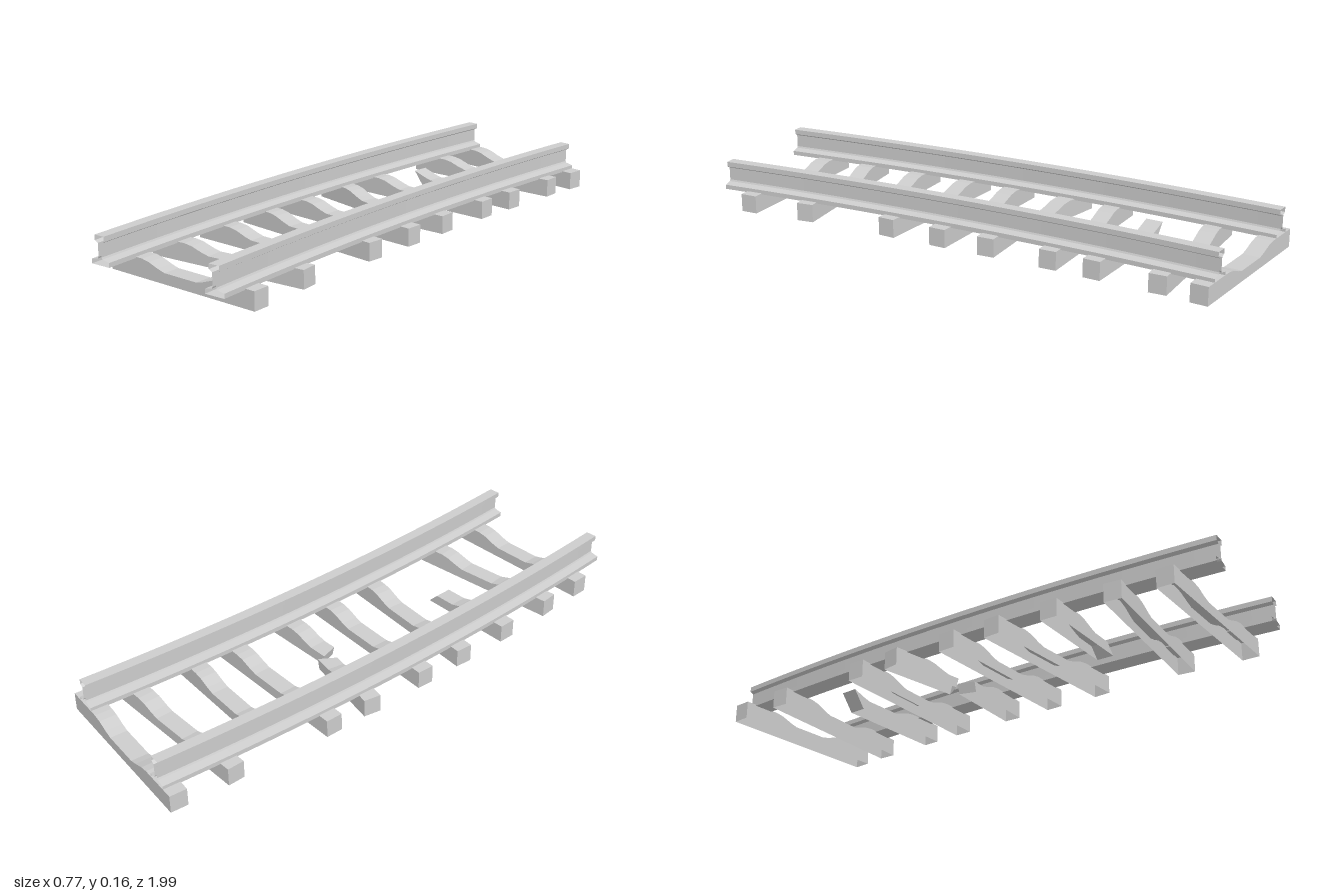
import * as THREE from 'three';

const steel = new THREE.MeshStandardMaterial({ color: 0xcccccc, side: THREE.DoubleSide });
steel.name = 'light grey';

const HALF = 0.314;   // half length of a whole sleeper
const WIDTH = 0.062;

// Joins successive cross-sections (arrays of [x, y, z]) with flat quads.
function loft(sections, closed, capped) {
  const pos = [];
  const quad = (a, b, c, d) => pos.push(...a, ...b, ...c, ...a, ...c, ...d);
  const n = sections[0].length;
  for (let i = 0; i < sections.length - 1; i++) {
    const s = sections[i], t = sections[i + 1];
    for (let j = 0; j < (closed ? n : n - 1); j++) {
      const k = (j + 1) % n;
      quad(s[j], s[k], t[k], t[j]);
    }
  }
  if (capped) {
    const [a, b, c, d] = sections[0];
    quad(d, c, b, a);
    quad(...sections[sections.length - 1]);
  }
  const geo = new THREE.BufferGeometry();
  geo.setAttribute('position', new THREE.Float32BufferAttribute(pos, 3));
  geo.computeVertexNormals();
  return geo;
}

// Rail: an I-profile swept along an arc, open at both ends.
function makeRail(name, startX) {
  const half = [[0.038, 0.061], [0.038, 0.077], [0.01, 0.083], [0.007, 0.089],
    [0.007, 0.135], [0.02, 0.142], [0.02, 0.16]];
  const profile = [...half, ...half.map(([v, y]) => [-v, y]).reverse()];
  const centreX = 11.188, sweep = 0.173, steps = 24;
  const sections = [];
  for (let i = 0; i <= steps; i++) {
    const t = sweep * i / steps;
    sections.push(profile.map(([v, y]) => {
      const r = centreX - startX - v;
      return [centreX - r * Math.cos(t), y, -1 + r * Math.sin(t)];
    }));
  }
  const rail = new THREE.Mesh(loft(sections, true, false), steel);
  rail.name = name;
  return rail;
}

// Height of the sleeper's top: full at the seats, dipped in the middle.
function topHeight(u) {
  const pts = [[0, 0.037], [0.07, 0.038], [0.1, 0.046], [0.14, 0.06], [0.17, 0.065], [1, 0.065]];
  const d = Math.abs(u);
  const i = pts.findIndex((p, k) => k > 0 && d <= p[0]);
  const [a, b] = [pts[i - 1], pts[i]];
  return a[1] + (b[1] - a[1]) * (d - a[0]) / (b[0] - a[0]);
}

// Sleeper between two end points, hollow underneath. A broken end may be
// slanted (bottom shifted against top) and skewed (front shifted against back).
function makeSleeper(name, x0, z0, x1, z1, { broken = null, slant = 0, skew = 0 } = {}) {
  const len = Math.hypot(x1 - x0, z1 - z0);
  const start = broken === 'left' ? HALF - len : broken === 'right' ? -HALF : -len / 2;
  const end = start + len;
  const inner = [-0.17, -0.14, -0.1, -0.07, 0.07, 0.1, 0.14, 0.17]
    .filter((u) => u > start + 0.045 && u < end - 0.045);
  const sections = [start, ...inner, end].map((u, i, all) => {
    const cut = (broken === 'left' && i === 0) || (broken === 'right' && i === all.length - 1);
    const sl = cut ? slant : 0, sk = cut ? skew : 0;
    const h = topHeight(u), w = WIDTH / 2;
    return [[u + sl - sk, 0, -w], [u - sk, h, -w], [u + sk, h, w], [u + sl + sk, 0, w]];
  });
  const sleeper = new THREE.Mesh(loft(sections, false, true), steel);
  sleeper.name = name;
  sleeper.position.set(x0 - (x1 - x0) * start / len, 0, z0 - (z1 - z0) * start / len);
  sleeper.rotation.y = Math.atan2(z0 - z1, x1 - x0);
  return sleeper;
}

export function createModel() {
  const model = new THREE.Group();
  model.name = 'brokenRailTrack';

  model.add(makeRail('rightRail', -0.312), makeRail('leftRail', 0.161));

  // Whole and broken sleepers from back to front: left-hand end, right-hand end
  const sleepers = [
    [-0.39, -0.969, 0.24, -0.969],
    [-0.385, -0.76, 0.237, -0.825],
    [-0.217, -0.575, 0.245, -0.592, { broken: 'left', slant: 0.05 }],
    [-0.373, -0.376, 0.25, -0.43],
    [-0.363, -0.215, -0.063, -0.187, { broken: 'right', slant: -0.01, skew: -0.013 }],
    [-0.035, -0.16, 0.267, -0.197, { broken: 'left', slant: 0.01, skew: 0.008 }],
    [-0.343, 0.026, 0.283, -0.01],
    [-0.325, 0.21, 0.3, 0.195],
    [-0.3, 0.43, 0.02, 0.394, { broken: 'right', slant: 0.037 }],
    [-0.267, 0.66, 0.34, 0.53],
    [-0.24, 0.84, 0.38, 0.763],
  ];
  sleepers.forEach((s, i) => {
    model.add(makeSleeper((s[4] ? 'brokenSleeper' : 'sleeper') + (i + 1), ...s));
  });
  return model;
}
